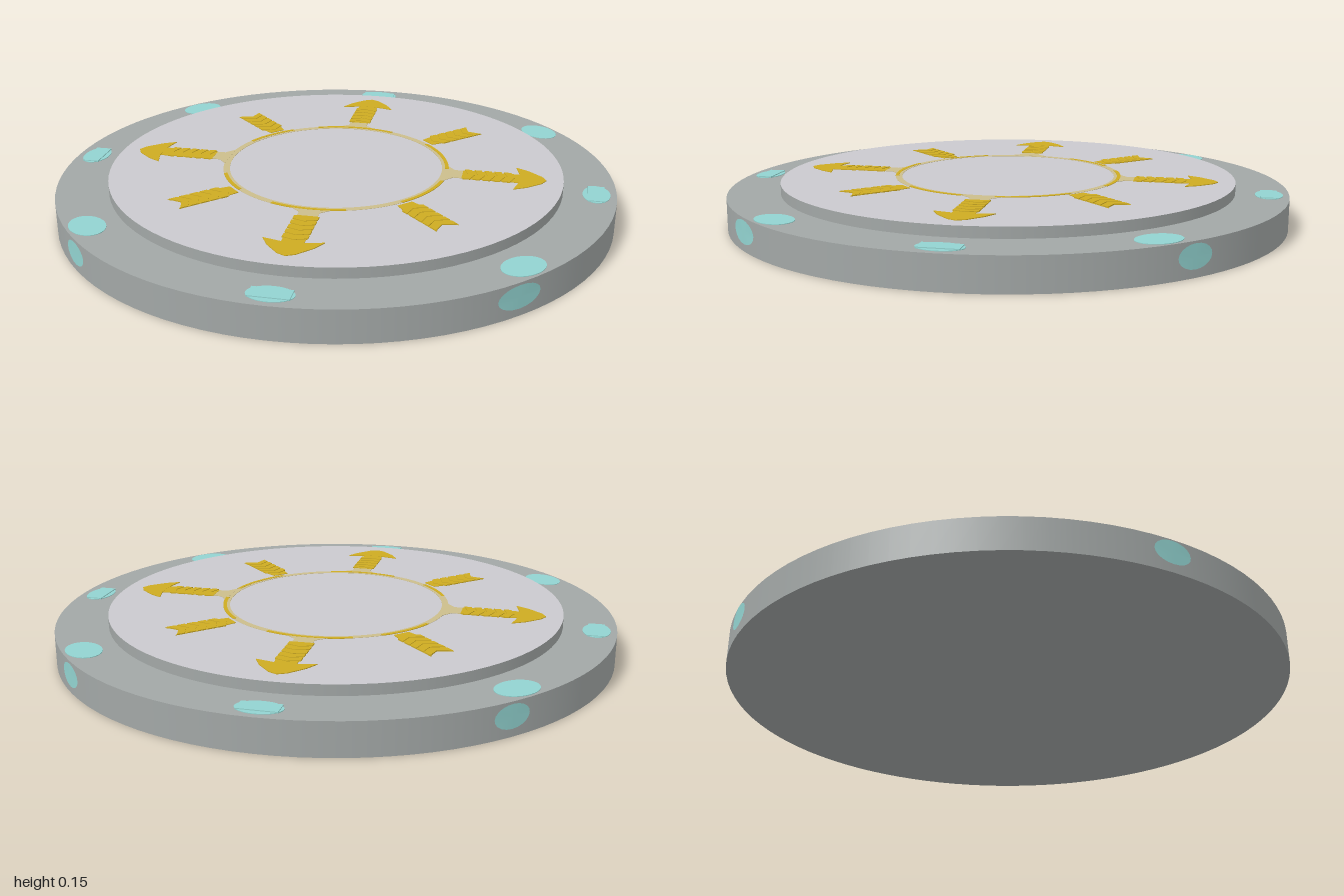
import * as THREE from 'three';

const material = (name, color) => {
  const m = new THREE.MeshStandardMaterial({ color });
  m.name = name;
  return m;
};

const RIM_TOP = 0.113, PLATE_TOP = 0.15;

// Thin horizontal plate from a 2D outline; outline +y points to -z.
function plate(name, shape, mat, y, thickness = 0.003) {
  const geo = new THREE.ExtrudeGeometry(shape, { depth: thickness, bevelEnabled: false, curveSegments: 16 });
  geo.rotateX(-Math.PI / 2);
  geo.translate(0, y, 0);
  const mesh = new THREE.Mesh(geo, mat);
  mesh.name = name;
  return mesh;
}

const polygon = (pts) => new THREE.Shape(pts.map(([x, y]) => new THREE.Vector2(x, y)));

function ellipse(x, y, rx, ry) {
  const s = new THREE.Shape();
  s.absellipse(x, y, rx, ry, 0, Math.PI * 2);
  return s;
}

const rectangle = (w, y0, y1) => polygon([[-w, y0], [w, y0], [w, y1], [-w, y1]]);

// Chevron whose tip leads by `tip` (negative points to the centre).
const chevron = (w, y, h, tip) =>
  polygon([[-w, y], [0, y + tip], [w, y], [w, y + h], [0, y + h + tip], [-w, y + h]]);

// Arc band of the ring
function band(r0, r1, a0, a1) {
  const s = new THREE.Shape();
  s.absarc(0, 0, r1, a0, a1, false);
  s.absarc(0, 0, r0, a1, a0, true);
  return s;
}

// Oval light wrapped on the outer wall
function wallLight(angle, halfWidth, mat) {
  const geo = new THREE.CircleGeometry(1, 20);
  const p = geo.attributes.position;
  for (let i = 0; i < p.count; i++) {
    const a = p.getX(i) * halfWidth;
    p.setXYZ(i, 1.003 * Math.sin(a), 0.067 + p.getY(i) * 0.04, 1.003 * Math.cos(a));
  }
  geo.computeVertexNormals();
  const mesh = new THREE.Mesh(geo, mat);
  mesh.name = 'wallLight';
  mesh.rotation.y = angle;
  return mesh;
}

export function createModel() {
  const grey = material('rim grey', 0xa2a7a6);
  const pale = material('plate grey', 0xcac9ce);
  const gold = material('gold', 0xcdab22);
  const faded = material('faded gold', 0xcbbd8c);
  const teal = material('light teal', 0x92d3d0);

  const model = new THREE.Group();
  model.name = 'roundPlatform';

  // Base disc and raised centre plate
  const base = new THREE.Mesh(new THREE.CylinderGeometry(1, 1, RIM_TOP, 96), grey);
  base.name = 'base';
  base.position.y = RIM_TOP / 2;
  const h = PLATE_TOP - RIM_TOP;
  const centre = new THREE.Mesh(new THREE.CylinderGeometry(0.815, 0.815, h, 96), [grey, pale, grey]);
  centre.name = 'centrePlate';
  centre.position.y = RIM_TOP + h / 2;
  model.add(base, centre);

  // Worn ring: faded band with brighter arcs
  for (let i = 0; i < 4; i++) {
    const a = i * Math.PI / 2;
    model.add(plate('fadedRing', band(0.385, 0.408, a, a + Math.PI / 2), faded, PLATE_TOP, 0.001));
  }
  for (const [a0, a1] of [[0.1, 0.75], [1.2, 1.95], [2.2, 2.7], [3.55, 3.95], [4.35, 5.0], [5.5, 6.1]]) {
    model.add(plate('brightRing', band(0.396, 0.409, a0, a1), gold, PLATE_TOP, 0.002));
  }

  // Long arrows pointing out, and rim lights behind them
  for (let i = 0; i < 4; i++) {
    const arrow = new THREE.Group();
    arrow.name = 'longArrow';
    arrow.rotation.y = i * Math.PI / 2;
    arrow.add(
      plate('arrowFoot', polygon([[-0.07, 0.4], [0.07, 0.4], [0.035, 0.43], [0.035, 0.465], [-0.035, 0.465], [-0.035, 0.43]]), faded, PLATE_TOP, 0.0015),
      plate('arrowStem', rectangle(0.037, 0.46, 0.66), gold, PLATE_TOP, 0.002),
      plate('arrowHead', polygon([[-0.1, 0.645], [-0.04, 0.66], [0.04, 0.66], [0.1, 0.645], [0.075, 0.69], [0.03, 0.74], [0, 0.755], [-0.03, 0.74], [-0.075, 0.69]]), gold, PLATE_TOP, 0.0025)
    );
    for (let k = 0; k < 5; k++) {
      arrow.add(plate('chevron', chevron(0.042, 0.465 + k * 0.035, 0.025, 0.015), gold, PLATE_TOP, 0.004));
    }
    model.add(arrow);

    const light = new THREE.Group();
    light.name = 'boxLight';
    light.rotation.y = i * Math.PI / 2;
    light.add(
      plate('lightGlow', ellipse(0, 0.93, 0.075, 0.048), teal, RIM_TOP, 0.002),
      plate('lightBox', rectangle(0.065, 0.9, 0.958), teal, RIM_TOP, 0.005)
    );
    model.add(light);
  }

  // Short swallow-tailed arrows pointing in
  for (let i = 0; i < 4; i++) {
    const arrow = new THREE.Group();
    arrow.name = 'shortArrow';
    arrow.rotation.y = Math.PI / 4 + i * Math.PI / 2;
    arrow.add(plate('arrowStem', polygon([[-0.03, 0.42], [0.03, 0.42], [0.042, 0.5], [0.045, 0.65], [0, 0.61], [-0.045, 0.65], [-0.042, 0.5]]), gold, PLATE_TOP, 0.002));
    for (let k = 0; k < 5; k++) {
      arrow.add(plate('chevron', chevron(0.044, 0.465 + k * 0.038, 0.028, -0.025), gold, PLATE_TOP, 0.004));
    }
    model.add(arrow);
  }

  // Oval lights on the rim top and outer wall at the diagonals
  for (const sx of [-1, 1]) {
    for (const sz of [-1, 1]) {
      const oval = plate('ovalLight', ellipse(0, 0.93, 0.08, 0.06), teal, RIM_TOP, 0.002);
      oval.rotation.y = Math.atan2(-sx * 0.71, -sz * 0.605);
      model.add(oval);
      const halfWidth = sx > 0 && sz > 0 ? 0.083 : 0.066;
      model.add(wallLight(Math.atan2(sx * 0.705, sz * 0.71), halfWidth, teal));
    }
  }
  return model;
}
